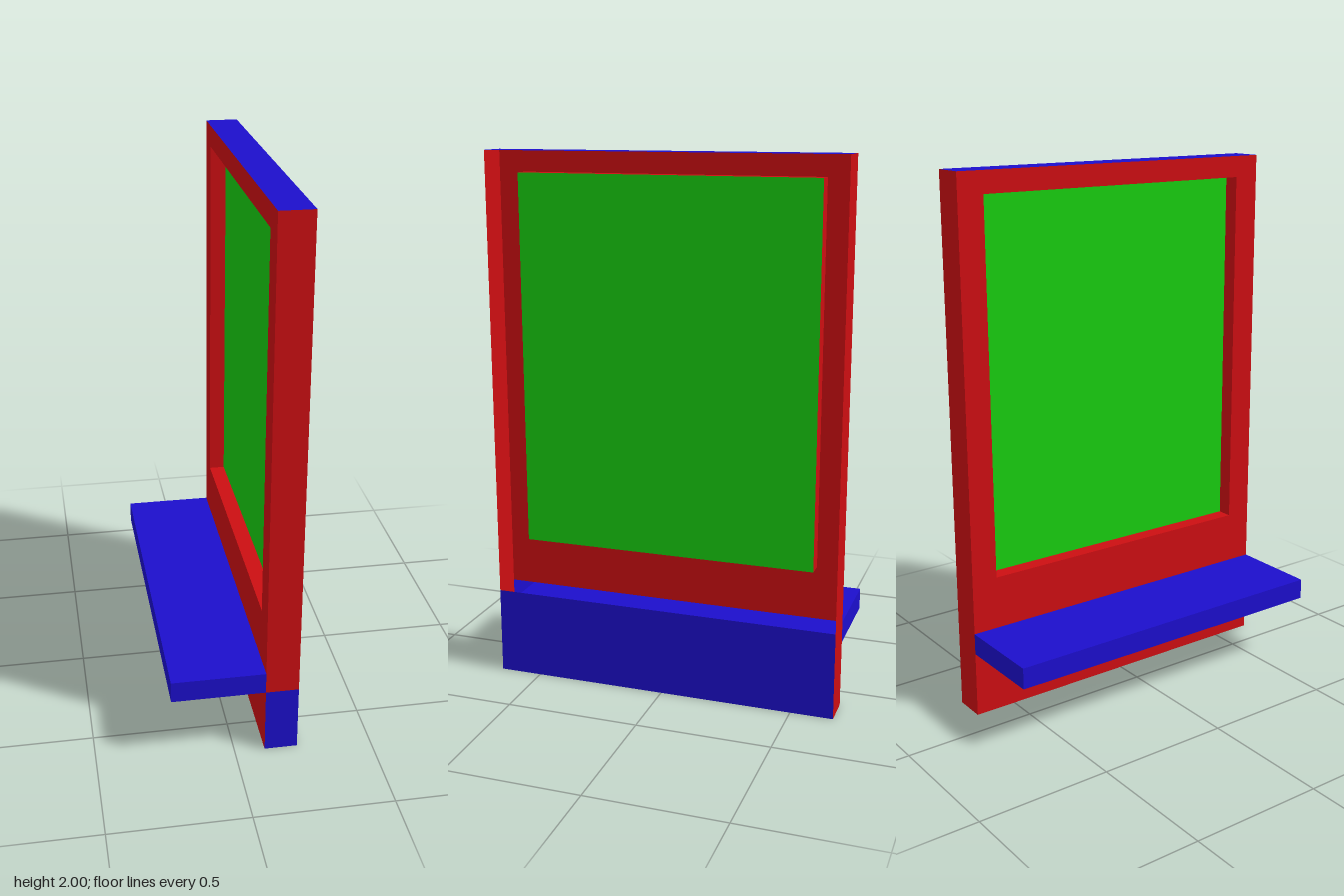
import * as THREE from 'three';

const sheetMaterial = (color) =>
  new THREE.MeshStandardMaterial({ color, side: THREE.DoubleSide, flatShading: true });

export function createModel() {
  const model = new THREE.Group();
  const red = sheetMaterial(0xcc0e12);
  const green = sheetMaterial(0x18cc10);
  const blue = sheetMaterial(0x1c0ecc);

  // Main limits: back wall, pane and open side along x; half length along z
  const wallX = 0.11, paneX = 0.17, openX = 0.23, ledgeX = -0.23, halfZ = 0.66;
  const ledgeLow = 0.25, ledgeHigh = 0.33, top = 2;
  const win = { z: 0.56, low: 0.53, high: 1.92 };

  function add(name, geometry, material) {
    const mesh = new THREE.Mesh(geometry, material);
    mesh.name = name;
    model.add(mesh);
  }
  // Thin sheets facing along x, y and z
  const sheetX = (name, mat, x, y0, y1, hz = halfZ) =>
    add(name, new THREE.PlaneGeometry(2 * hz, y1 - y0).rotateY(Math.PI / 2)
      .translate(x, (y0 + y1) / 2, 0), mat);
  const sheetY = (name, mat, y, x0, x1, hz = halfZ) =>
    add(name, new THREE.PlaneGeometry(x1 - x0, 2 * hz).rotateX(-Math.PI / 2)
      .translate((x0 + x1) / 2, y, 0), mat);
  const sheetZ = (name, mat, z, x0, x1, y0, y1) =>
    add(name, new THREE.PlaneGeometry(x1 - x0, y1 - y0)
      .translate((x0 + x1) / 2, (y0 + y1) / 2, z), mat);

  // Wall with the window opening
  const rectangle = (PathType, hz, y0, y1) => new PathType([
    new THREE.Vector2(-hz, y0), new THREE.Vector2(hz, y0),
    new THREE.Vector2(hz, y1), new THREE.Vector2(-hz, y1),
  ]);
  const wall = rectangle(THREE.Shape, halfZ, ledgeHigh, top);
  wall.holes.push(rectangle(THREE.Path, win.z, win.low, win.high));
  add('windowWall', new THREE.ShapeGeometry(wall).rotateY(-Math.PI / 2).translate(wallX, 0, 0), red);
  sheetX('lowerWall', red, wallX, 0, ledgeLow);

  // Recessed pane with its sill, head and jambs
  sheetX('windowPane', green, paneX, win.low, win.high, win.z);
  sheetY('windowSill', red, win.low, wallX, paneX, win.z);
  sheetY('windowHead', red, win.high, wallX, paneX, win.z);
  for (const s of [-1, 1])
    sheetZ('windowJamb', red, s * win.z, wallX, paneX, win.low, win.high);

  // End plates, top and base
  sheetZ('frontEnd', red, halfZ, wallX, openX, ledgeLow, top);
  sheetZ('baseFrontEnd', blue, halfZ, wallX, openX, 0, ledgeLow);
  sheetZ('backEnd', red, -halfZ, wallX, openX, 0, top);
  sheetY('topCap', blue, top, wallX, openX);
  sheetY('baseFloor', blue, 0, wallX, openX);
  sheetX('baseboard', blue, openX, 0, ledgeHigh);

  // Hollow ledge, open towards the wall
  sheetY('ledgeTop', blue, ledgeHigh, ledgeX, wallX);
  sheetY('ledgeUnderside', blue, ledgeLow, ledgeX, wallX);
  sheetX('ledgeEdge', blue, ledgeX, ledgeLow, ledgeHigh);
  for (const s of [-1, 1])
    sheetZ('ledgeEnd', blue, s * halfZ, ledgeX, wallX, ledgeLow, ledgeHigh);

  return model;
}
